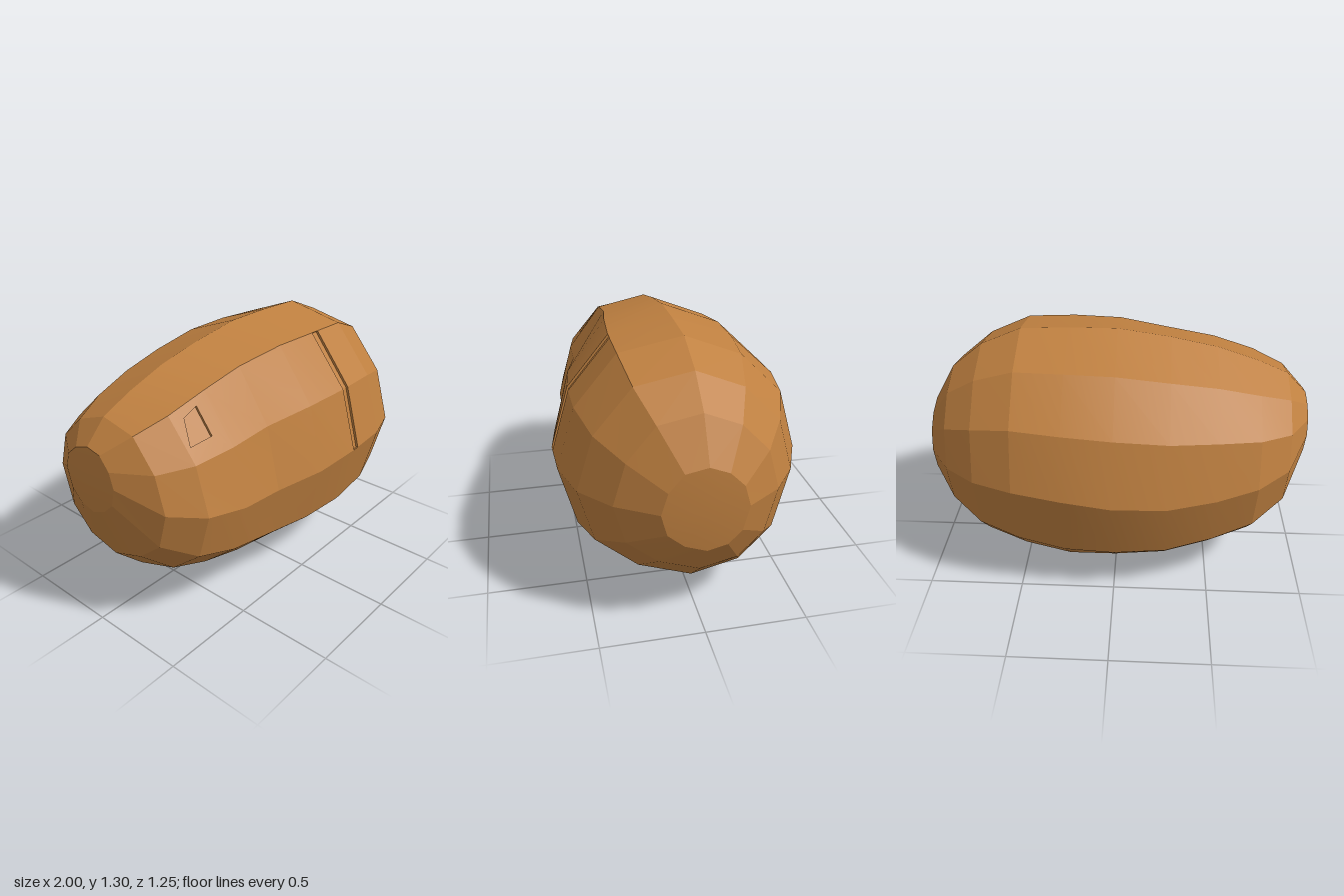
import * as THREE from 'three';
import { toCreasedNormals } from 'three/addons/utils/BufferGeometryUtils.js';

const SIDES = 12;

// Cross-sections along x: [x, top y, middle y, bottom y, front z, back z]
const SECTIONS = [
  [-0.985, 0.96, 0.8, 0.62, 0.16, -0.17],
  [-0.88, 1.07, 0.7, 0.33, 0.37, -0.36],
  [-0.72, 1.14, 0.66, 0.18, 0.48, -0.47],
  [-0.51, 1.21, 0.63, 0.1, 0.52, -0.54],
  [-0.27, 1.26, 0.615, 0.03, 0.525, -0.6],
  [0, 1.3, 0.63, 0.01, 0.59, -0.63],
  [0.25, 1.3, 0.66, 0, 0.62, -0.62],
  [0.5, 1.29, 0.67, 0.05, 0.61, -0.57],
  [0.71, 1.2, 0.66, 0.12, 0.54, -0.48],
  [0.87, 1.07, 0.66, 0.27, 0.4, -0.36],
  [0.985, 0.87, 0.66, 0.45, 0.21, -0.19],
];

// Slight unevenness of each lengthwise ridge, from the top round the front
const SCALE_Y = [1, 1.04, 1, 1, 1, 0.95, 1, 1.03, 1.15, 1, 0.98, 0.95];
const SCALE_Z = [1, 1.02, 0.98, 1, 1, 0.98, 1, 1, 0.97, 1, 0.98, 0.97];

function ring([x, top, mid, bottom, front, back]) {
  return Array.from({ length: SIDES }, (_, k) => {
    const a = (k / SIDES) * Math.PI * 2, c = Math.cos(a), s = Math.sin(a);
    const y = mid + c * SCALE_Y[k] * (c > 0 ? top - mid : mid - bottom);
    const z = s * SCALE_Z[k] * (s > 0 ? front : -back);
    return new THREE.Vector3(x, y, z);
  });
}

// Shallow marks cut into single faces: corners in face (u, v), depth, edges without a wall
const PITS = {
  '2,1': { uv: [[0.29, 0.19], [0.1, 0.67], [0.67, 0.68], [0.67, 0.14]], depth: 0.015, open: [] },
  '6,1': { uv: [[0, 0], [0, 1], [0.18, 1], [0.2, 0]], depth: 0.012, open: [1] },
  '6,2': { uv: [[0, 0], [0, 1], [0.16, 1], [0.18, 0]], depth: 0.012, open: [3] },
  '4,7': { uv: [[0.88, 0.6], [0.8, 0.78], [0.88, 0.95], [0.97, 0.78]], depth: 0.02, open: [] },
};

export function createModel() {
  const group = new THREE.Group();
  const skin = new THREE.MeshStandardMaterial({ color: 0xbf8040 });
  skin.name = 'brown skin';

  const positions = [];
  const tri = (a, b, c) => {
    const area = b.clone().sub(a).cross(c.clone().sub(a)).length();
    if (area > 1e-7) for (const p of [a, b, c]) positions.push(p.x, p.y, p.z);
  };
  const quad = (a, b, c, d) => { tri(a, b, c); tri(a, c, d); };

  // Face with a sunken mark: surrounding frame, walls and floor
  function pitted(corners, { uv, depth, open }) {
    const [a, b, c, d] = corners;
    const inward = c.clone().sub(a).cross(d.clone().sub(b)).normalize().multiplyScalar(-depth);
    const rim = uv.map(([u, v]) => a.clone().lerp(d, u).lerp(b.clone().lerp(c, u), v));
    const floor = rim.map((p) => p.clone().add(inward));
    for (let i = 0; i < 4; i++) {
      const j = (i + 1) % 4;
      quad(corners[i], corners[j], rim[j], rim[i]);
      if (!open.includes(i)) quad(rim[i], rim[j], floor[j], floor[i]);
    }
    quad(...floor);
  }

  // Lengthwise skin between the cross-sections
  const rings = SECTIONS.map(ring);
  for (let i = 0; i < rings.length - 1; i++) {
    for (let k = 0; k < SIDES; k++) {
      const n = (k + 1) % SIDES;
      const corners = [rings[i][k], rings[i][n], rings[i + 1][n], rings[i + 1][k]];
      const pit = PITS[`${i},${k}`];
      if (pit) pitted(corners, pit);
      else quad(...corners);
    }
  }

  // Blunt end caps
  const leftTip = new THREE.Vector3(-1, 0.8, 0);
  const rightTip = new THREE.Vector3(1, 0.66, 0);
  const last = rings[rings.length - 1];
  for (let k = 0; k < SIDES; k++) {
    const n = (k + 1) % SIDES;
    tri(leftTip, rings[0][n], rings[0][k]);
    tri(rightTip, last[k], last[n]);
  }

  const geometry = new THREE.BufferGeometry();
  geometry.setAttribute('position', new THREE.Float32BufferAttribute(positions, 3));
  const body = new THREE.Mesh(toCreasedNormals(geometry, 0.2), skin);
  body.name = 'tuberBody';
  group.add(body);
  return group;
}
